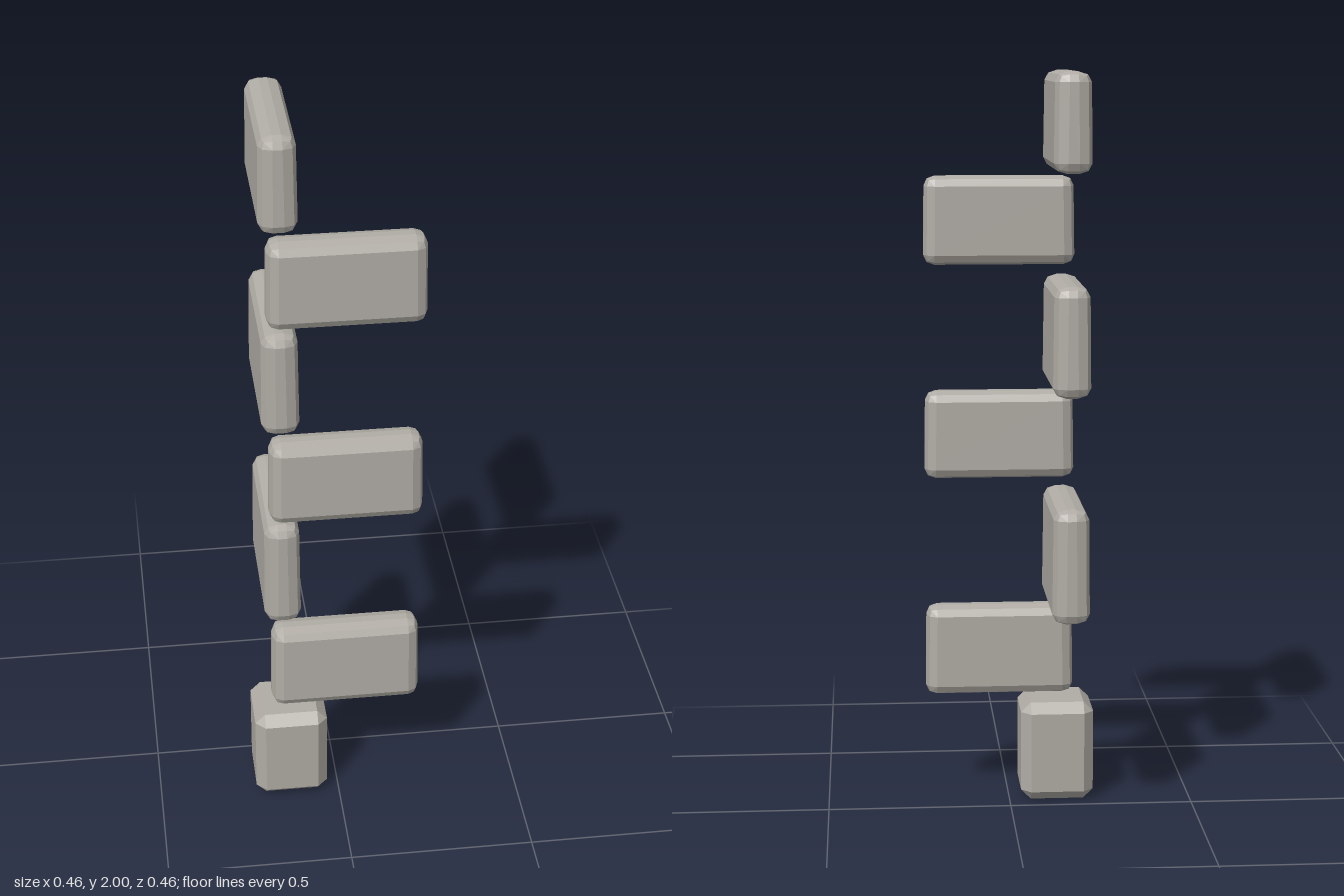
import * as THREE from 'three';
import { ConvexGeometry } from 'three/addons/geometries/ConvexGeometry.js';

// Bevelled block filling the box min..max; r holds the bevel size per axis.
// Each corner is cut by the given unit offsets, measured from the bevel centre.
function bevelBlock(min, max, r, offsets, lean = 0) {
  const points = [];
  const height = max[1] - min[1];
  for (const sx of [-1, 1]) for (const sy of [-1, 1]) for (const sz of [-1, 1]) {
    const s = [sx, sy, sz];
    for (const o of offsets) {
      const p = s.map((side, i) =>
        (side > 0 ? max[i] : min[i]) - side * r[i] * (1 - o[i]));
      // hand-cut look: the long upper corners draw in slightly
      if (lean && sy > 0) {
        const t = (p[1] - min[1]) / height;
        p[0] -= sx * lean * t;
        p[2] -= sz * lean * t;
      }
      points.push(new THREE.Vector3(...p));
    }
  }
  return new ConvexGeometry(points);
}

// Single chamfer and two-step rounding
const CHAMFER = [[1, 0, 0], [0, 1, 0], [0, 0, 1]];
const ROUND = [...CHAMFER, [0.71, 0.71, 0], [0.71, 0, 0.71], [0, 0.71, 0.71], [0.58, 0.58, 0.58]];

export function createModel() {
  const group = new THREE.Group();
  const stone = new THREE.MeshStandardMaterial({ color: 0xb0aca5, flatShading: true });
  stone.name = 'warm grey stone';

  const add = (name, geometry) => {
    const mesh = new THREE.Mesh(geometry, stone);
    mesh.name = name;
    group.add(mesh);
  };

  // Foot block
  add('baseStone', bevelBlock([-0.232, 0, 0.028], [-0.032, 0.277, 0.228], [0.027, 0.027, 0.027], CHAMFER));

  // Slabs running sideways along the front
  [[0.288, 0.54], [0.898, 1.138], [1.482, 1.72]].forEach(([y0, y1], i) =>
    add(`frontSlab${i + 1}`, bevelBlock([-0.18, y0, 0.092], [0.228, y1, 0.191], [0.03, 0.027, 0.035], ROUND, 0.003)));

  // Slabs running back along the side
  [[0.565, 0.872], [1.165, 1.455], [1.742, 2]].forEach(([y0, y1], i) =>
    add(`sideSlab${i + 1}`, bevelBlock([-0.195, y0, -0.23], [-0.096, y1, 0.173], [0.035, 0.027, 0.03], ROUND, 0.003)));

  return group;
}
